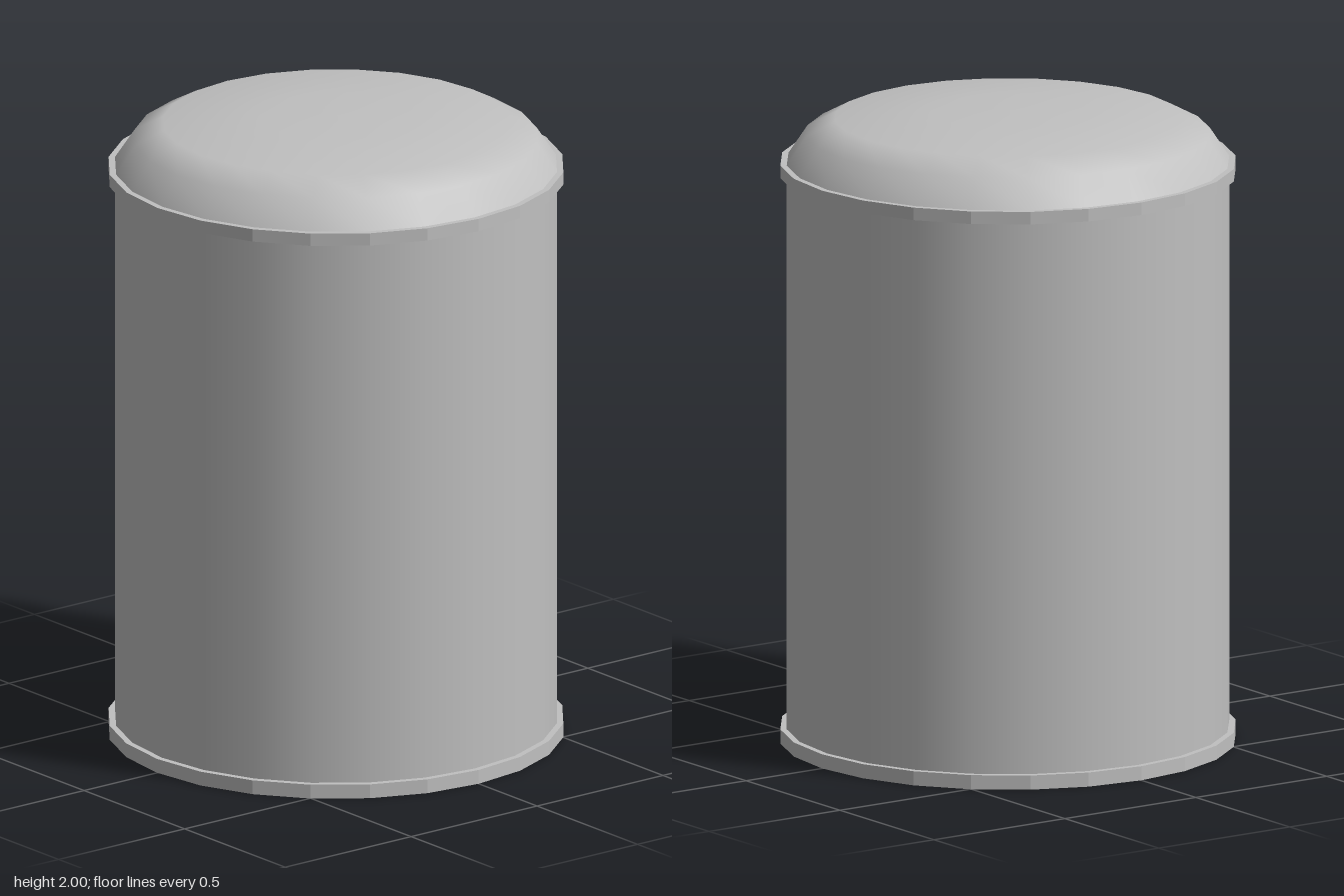
import * as THREE from 'three';

const SIDES = 24;

export function createModel() {
  const model = new THREE.Group();
  const metal = new THREE.MeshStandardMaterial({ color: 0xc0c0c0 });
  metal.name = 'grey metal';

  const add = (name, geometry, y = 0) => {
    const mesh = new THREE.Mesh(geometry, metal);
    mesh.name = name;
    mesh.position.y = y;
    model.add(mesh);
  };

  // Faceted closed disc used for both rims
  const rim = (height) => {
    const geometry = new THREE.CylinderGeometry(0.71, 0.71, height, SIDES).toNonIndexed();
    geometry.computeVertexNormals();
    return geometry;
  };

  // Smooth cylindrical wall between the rims
  add('body', new THREE.CylinderGeometry(0.69, 0.69, 1.76, SIDES, 1, true), 0.92);

  // Rims, the lower one closing the base
  add('baseRim', rim(0.045), 0.0225);
  add('lidRim', rim(0.04), 1.82);

  // Rounded lid
  const profile = [[0.69, 1.84], [0.63, 1.93], [0.54, 1.978], [0.24, 1.998], [0, 2]]
    .map(([r, y]) => new THREE.Vector2(r, y));
  add('lid', new THREE.LatheGeometry(profile, SIDES));

  return model;
}
